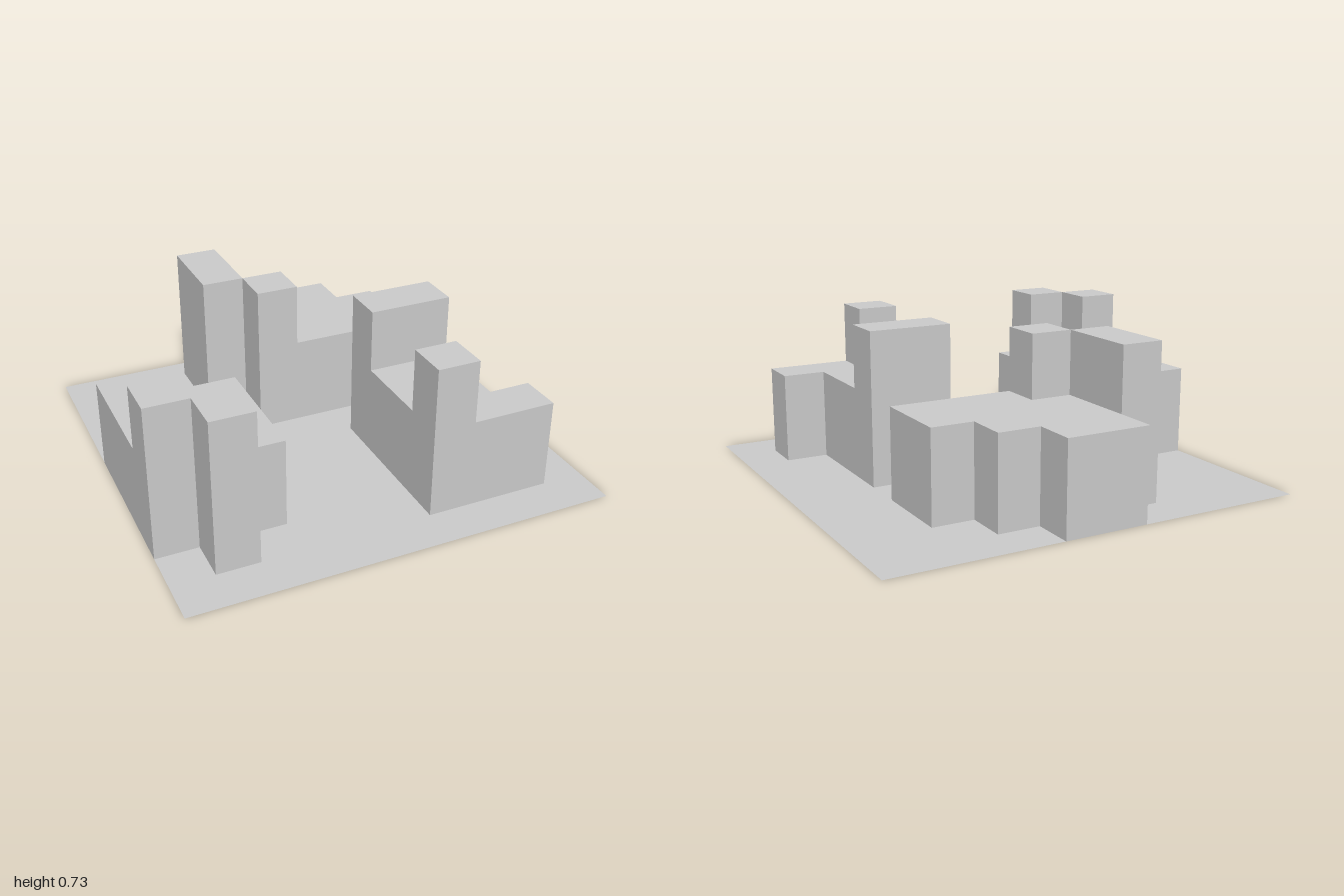
import * as THREE from 'three';
import { mergeGeometries } from 'three/addons/utils/BufferGeometryUtils.js';

const LOW = 0.428, HIGH = 0.727;
const material = new THREE.MeshStandardMaterial({ color: 0xcccccc, flatShading: true, side: THREE.DoubleSide });

// Flat horizontal sheet from [x, z] corners, facing up
function sheet(outline, y, holes = []) {
  const toPoints = (o) => o.map(([x, z]) => new THREE.Vector2(x, -z));
  const shape = new THREE.Shape(toPoints(outline));
  holes.forEach((h) => shape.holes.push(new THREE.Path(toPoints(h))));
  const g = new THREE.ShapeGeometry(shape).rotateX(-Math.PI / 2).translate(0, y, 0).toNonIndexed();
  g.deleteAttribute('uv');
  return g;
}

// Walls and roof over an outline, open at the bottom
function hollowBlock(outline, height) {
  const positions = [];
  outline.forEach(([ax, az], i) => {
    const [bx, bz] = outline[(i + 1) % outline.length];
    positions.push(bx, 0, bz, ax, 0, az, ax, height, az);
    positions.push(bx, 0, bz, ax, height, az, bx, height, bz);
  });
  const walls = new THREE.BufferGeometry();
  walls.setAttribute('position', new THREE.Float32BufferAttribute(positions, 3));
  walls.computeVertexNormals();
  return mergeGeometries([walls, sheet(outline, height)]);
}

const rect = (x0, z0, x1, z1) => [[x0, z0], [x1, z0], [x1, z1], [x0, z1]];

export function createModel() {
  const model = new THREE.Group();
  const add = (parent, name, geometry) => {
    const mesh = new THREE.Mesh(geometry, material);
    mesh.name = name;
    parent.add(mesh);
  };

  // Ground sheet, cut away beneath every building
  const groundOutline = [
    [-1, -1], [-0.2, -1], [-0.2, -0.8], [-0.4, -0.8], [-0.4, -0.4], [-0.2, -0.4], [-0.2, -0.2],
    [0.6, -0.2], [0.6, -0.6], [0.4, -0.6], [0.4, -0.8], [0.2, -0.8], [0.2, -1], [1, -1], [1, 1], [-1, 1],
    [-1, 0.6], [-0.8, 0.6], [-0.8, 0.8], [-0.6, 0.8], [-0.6, 0.6], [-0.4, 0.6], [-0.4, 0],
    [-0.6, 0], [-0.6, -0.2], [-1, -0.2],
  ];
  const groundHole = [[0.2, 0], [0.6, 0], [0.6, 0.6], [0.8, 0.6], [0.8, 0.8], [0.2, 0.8]];
  add(model, 'ground', sheet(groundOutline, 0, [groundHole]));

  // Each building: one low block and two tall towers
  const buildings = {
    backBuilding: {
      block: [[-0.2, -1], [0.2, -1], [0.2, -0.8], [0.4, -0.8], [0.4, -0.6], [0.6, -0.6],
        [0.6, -0.2], [0, -0.2], [0, -0.4], [-0.2, -0.4]],
      towers: [rect(-0.4, -0.8, -0.2, -0.4), rect(-0.2, -0.4, 0, -0.2)],
    },
    rightBuilding: {
      block: [[-1, -0.2], [-0.6, -0.2], [-0.6, 0], [-0.4, 0], [-0.4, 0.6],
        [-0.8, 0.6], [-0.8, 0.4], [-1, 0.4]],
      towers: [rect(-1, 0.4, -0.8, 0.6), rect(-0.8, 0.6, -0.6, 0.8)],
    },
    leftBuilding: {
      block: [[0.2, 0.2], [0.6, 0.2], [0.6, 0.6], [0.8, 0.6], [0.8, 0.8],
        [0.4, 0.8], [0.4, 0.6], [0.2, 0.6]],
      towers: [rect(0.2, 0, 0.6, 0.2), rect(0.2, 0.6, 0.4, 0.8)],
    },
  };
  for (const [name, { block, towers }] of Object.entries(buildings)) {
    const group = new THREE.Group();
    group.name = name;
    add(group, 'lowBlock', hollowBlock(block, LOW));
    towers.forEach((t, i) => add(group, `tower${i + 1}`, hollowBlock(t, HIGH)));
    model.add(group);
  }
  return model;
}
